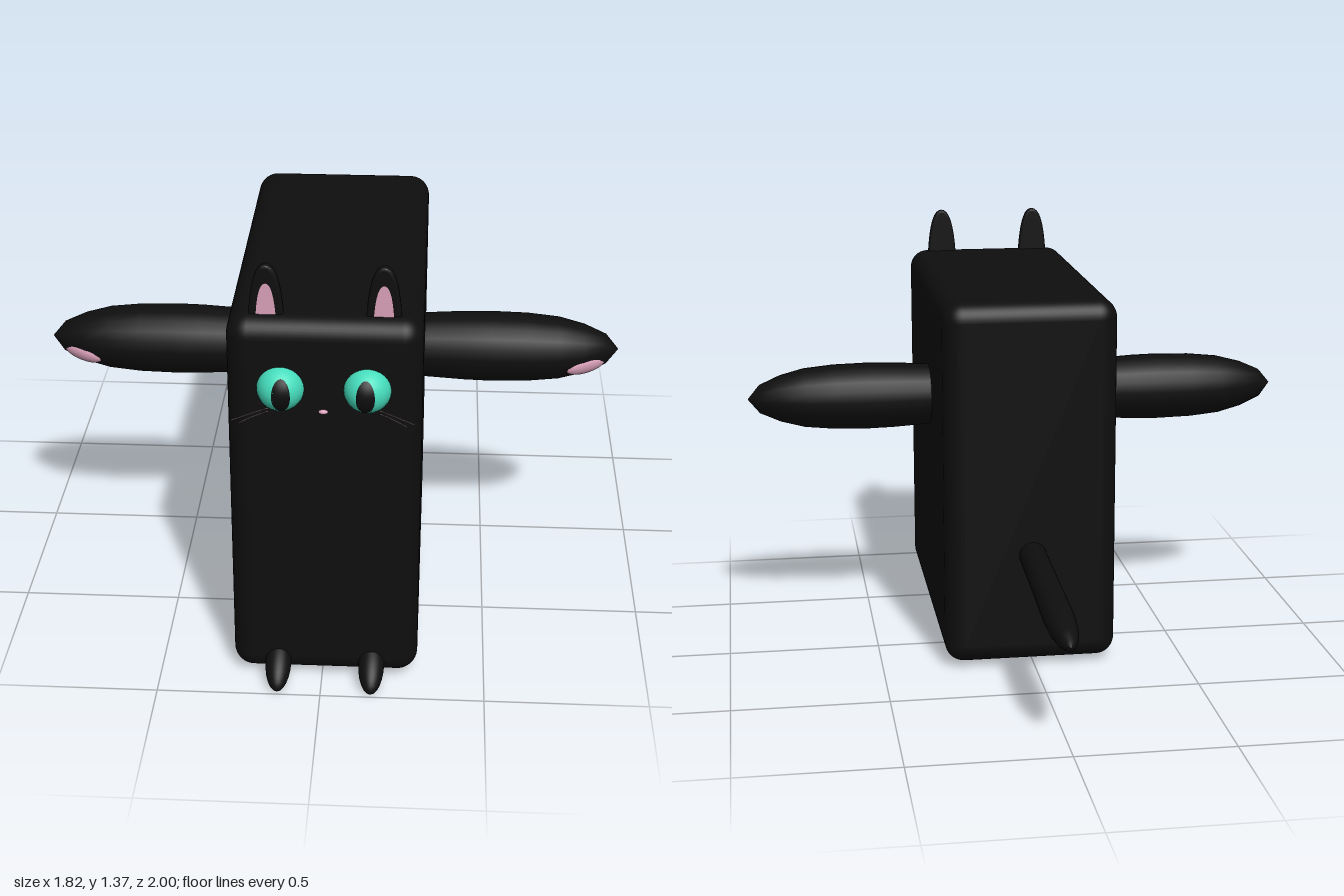
import * as THREE from 'three';
import { RoundedBoxGeometry } from 'three/addons/geometries/RoundedBoxGeometry.js';

const CX = 0.01; // middle of the body in x

function material(name, color, side = THREE.FrontSide) {
  const m = new THREE.MeshStandardMaterial({ color, side });
  m.name = name;
  return m;
}

export function createModel() {
  const group = new THREE.Group();
  const black = material('black fur', 0x0e0e0e);
  const pink = material('pink skin', 0xd9a0b8, THREE.DoubleSide);
  const teal = material('teal eye', 0x45dcbc);
  const grey = material('whisker grey', 0xb39a9c);

  function add(name, geometry, mat, x = 0, y = 0, z = 0) {
    const mesh = new THREE.Mesh(geometry, mat);
    mesh.name = name;
    mesh.position.set(x, y, z);
    group.add(mesh);
    return mesh;
  }
  const ellipsoid = (a, b, c) => new THREE.SphereGeometry(1, 24, 16).scale(a, b, c);
  // smooth round limb from [radius, distance] pairs, running along +y
  const limb = (pts) => new THREE.LatheGeometry(pts.map(([r, d]) => new THREE.Vector2(r, d)), 20);

  // body block
  add('body', new RoundedBoxGeometry(0.566, 1.206, 1.18, 5, 0.062), black, CX, 0.618, 0.32);

  // tail, sloping gently down to a pointed tip
  const tail = add('tail', limb([[0, 0], [0.045, 0.01], [0.046, 0.3], [0.048, 0.55], [0.044, 0.63],
    [0.034, 0.7], [0.018, 0.75], [0, 0.765]]), black, 0.008, 0.388, -0.236);
  tail.rotation.x = -Math.PI / 2 - 0.064;

  // ear outline, tapered to a rounded tip
  function earShape(w, h) {
    const s = new THREE.Shape();
    s.moveTo(-w, -0.03);
    s.lineTo(w, -0.03);
    s.bezierCurveTo(w * 0.9, h * 0.4, w * 0.65, h, 0, h);
    s.bezierCurveTo(-w * 0.65, h, -w * 0.9, h * 0.4, -w, -0.03);
    return s;
  }
  const earGeo = new THREE.ExtrudeGeometry(earShape(0.044, 0.141), {
    depth: 0.012, bevelEnabled: true, bevelThickness: 0.008, bevelSize: 0.008, bevelSegments: 3, curveSegments: 12,
  });
  const innerEarGeo = new THREE.ShapeGeometry(earShape(0.03, 0.095), 12);

  // pupil: an oval patch laid over the eyeball
  const pupilGeo = new THREE.RingGeometry(0.0001, 1, 32, 6).scale(0.027, 0.051, 1);
  const pp = pupilGeo.attributes.position;
  for (let i = 0; i < pp.count; i++) {
    pp.setZ(i, Math.sqrt(0.0715 ** 2 - pp.getX(i) ** 2 - pp.getY(i) ** 2));
  }
  pupilGeo.computeVertexNormals();

  for (const [side, s] of [['left', 1], ['right', -1]]) {
    // arm
    const arm = add(side + 'Arm', limb([[0, 0.2], [0.095, 0.2], [0.104, 0.3], [0.111, 0.42], [0.113, 0.5],
      [0.11, 0.62], [0.1, 0.72], [0.079, 0.8], [0.048, 0.87], [0, 0.91]]), black, 0, 0.823, 0.232);
    arm.rotation.z = -s * Math.PI / 2;

    // paw pad on the front of the arm
    const pad = add(side + 'PawPad', ellipsoid(0.068, 0.031, 0.02), pink, s * 0.805, 0.79, 0.287);
    pad.rotation.set(0.4, s * 0.4, 0);

    // ear and its pink inside
    const ex = CX + s * 0.168;
    add(side + 'Ear', earGeo, black, ex, 1.221, 0.837);
    add(side + 'InnerEar', innerEarGeo, pink, ex, 1.221, 0.859);

    // eye and pupil
    const eyeX = CX + s * 0.125;
    add(side + 'Eye', ellipsoid(0.07, 0.07, 0.07), teal, eyeX, 1.01, 0.898);
    add(side + 'Pupil', pupilGeo, black, eyeX - (s > 0 ? 0.004 : -0.005), 1.01, 0.898);

    // foot, pointing forward and down
    const foot = add(side + 'Foot', ellipsoid(0.04, 0.037, 0.1), black, CX + s * 0.143, 0.06, 0.912);
    foot.rotation.x = 0.55;

    // whiskers
    for (const [y0, x1, y1] of [[0.945, 0.262, 0.932], [0.935, 0.24, 0.924]]) {
      const path = new THREE.QuadraticBezierCurve3(
        new THREE.Vector3(CX + s * 0.15, y0, 0.9),
        new THREE.Vector3(CX + s * 0.2, y0 + 0.002, 0.94),
        new THREE.Vector3(CX + s * x1, y1, 0.962));
      add(side + 'Whisker', new THREE.TubeGeometry(path, 8, 0.0016, 5), grey);
    }
  }

  // nose
  add('nose', ellipsoid(0.014, 0.007, 0.008), pink, CX, 0.953, 0.938);

  return group;
}
